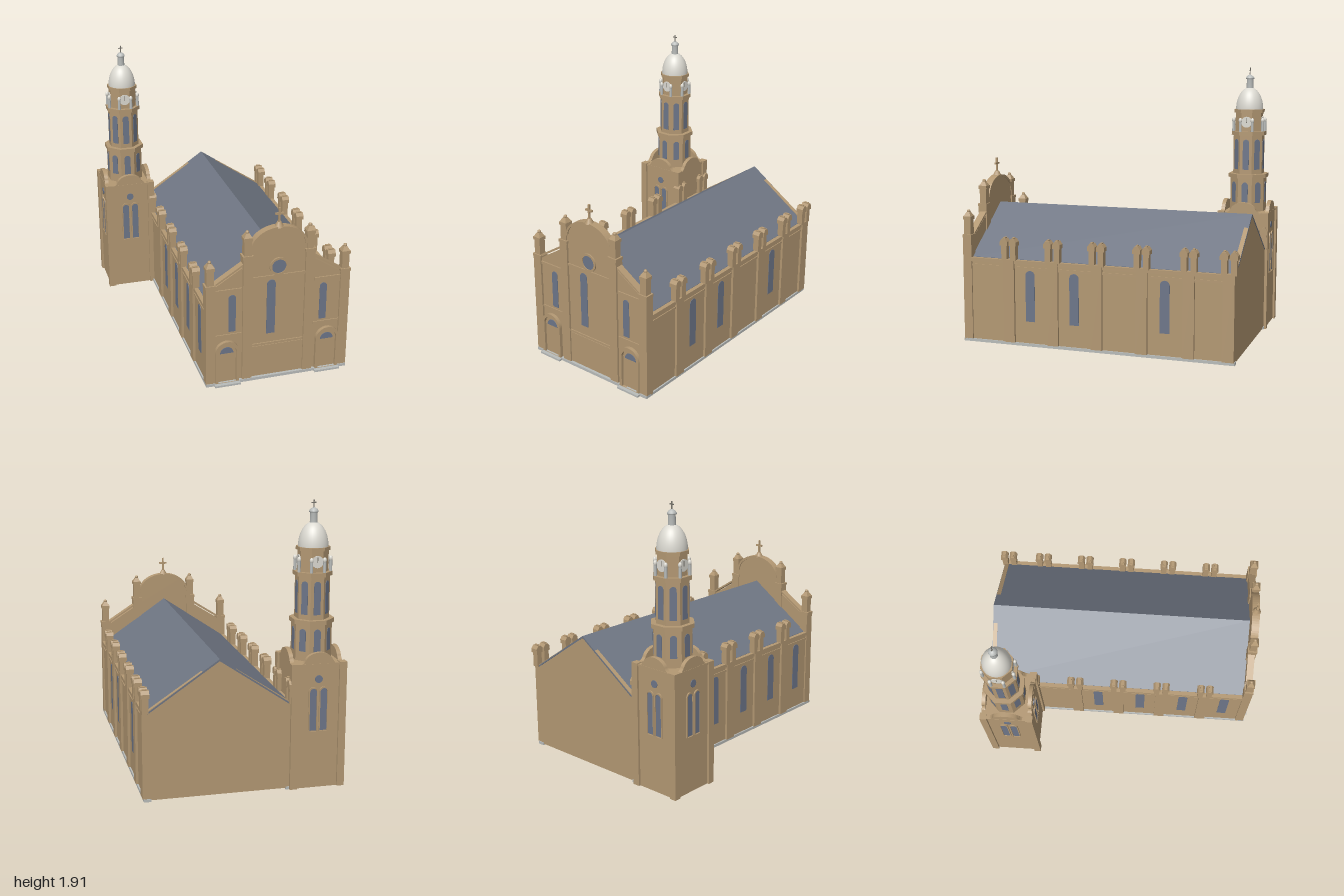
import * as THREE from 'three';

const mat = (name, color, extra = {}) => Object.assign(new THREE.MeshStandardMaterial({ color, ...extra }), { name });

export function createModel() {
  const stone = mat('sandstone', 0xb39873);
  const slate = mat('slate', 0x6f7683, { side: THREE.DoubleSide });
  const glass = mat('windowGlass', 0x6d7689);
  const pale = mat('paleMetal', 0xdcdad2);
  const grey = mat('greyStone', 0xb9bcba);
  const dark = mat('darkMetal', 0x77746c);
  const model = new THREE.Group();
  model.name = 'church';
  const CX = 0.165; // nave axis

  const add = (parent, name, geo, m, x = 0, y = 0, z = 0) => {
    const mesh = new THREE.Mesh(geo, m);
    mesh.name = name;
    mesh.position.set(x, y, z);
    parent.add(mesh);
    return mesh;
  };
  const group = (parent, name, x = 0, y = 0, z = 0, ry = 0) => {
    const g = new THREE.Group();
    g.name = name;
    g.position.set(x, y, z);
    g.rotation.y = ry;
    parent.add(g);
    return g;
  };
  // box from its limits
  const box = (parent, name, m, x0, x1, y0, y1, z0, z1) =>
    add(parent, name, new THREE.BoxGeometry(x1 - x0, y1 - y0, z1 - z0), m, (x0 + x1) / 2, (y0 + y1) / 2, (z0 + z1) / 2);
  const extrude = (shape, depth) => new THREE.ExtrudeGeometry(shape, { depth, bevelEnabled: false, curveSegments: 16 });
  const poly = pts => new THREE.Shape(pts.map(p => new THREE.Vector2(...p)));
  // round-headed outline, foot at y = 0
  const arch = (w, h) => {
    const s = new THREE.Shape();
    s.moveTo(-w / 2, 0);
    s.lineTo(w / 2, 0);
    s.lineTo(w / 2, h - w / 2);
    s.absarc(0, h - w / 2, w / 2, 0, Math.PI, false);
    s.closePath();
    return s;
  };
  const disc = r => new THREE.Shape().absarc(0, 0, r, 0, Math.PI * 2, false);
  const ring = (outer, inner) => { outer.holes.push(inner); return outer; };
  const archWindow = (parent, x, y, z, w, h) => add(parent, 'archedWindow', extrude(arch(w, h), 0.006), glass, x, y, z);

  // ---- nave ----
  const nave = group(model, 'nave', CX);
  const gable = poly([[-0.495, 0.01], [0.495, 0.01], [0.495, 0.6], [0, 0.93], [-0.495, 0.6]]);
  add(nave, 'backGable', extrude(gable, 0.03), stone, 0, 0, -0.98);
  for (const s of [-1, 1]) {
    const side = group(nave, s > 0 ? 'leftSide' : 'rightSide', 0, 0, 0, s * Math.PI / 2);
    // in this frame +z points outwards and x runs along the wall
    const at = z => -s * z;
    const wallBox = (name, m, z, w, y0, y1, d0, d1) => box(side, name, m, at(z) - w / 2, at(z) + w / 2, y0, y1, d0, d1);
    wallBox('sideWall', stone, -0.02, 1.9, 0.01, 0.6, 0.465, 0.495);
    wallBox('sidePlinth', grey, -0.01, 1.95, 0, 0.02, 0.455, 0.505);
    wallBox('lowerCornice', stone, -0.02, 1.9, 0.545, 0.56, 0.48, 0.501);
    wallBox('upperCornice', stone, -0.02, 1.9, 0.58, 0.605, 0.465, 0.505);
    for (const z of [0.62, 0.295, -0.025, -0.345, -0.67, -0.94]) {
      wallBox('pilaster', stone, z, 0.08, 0.02, 0.61, 0.48, 0.512);
      for (const d of [-0.033, 0.033]) {
        wallBox('pinnacleShaft', stone, z + d, 0.04, 0.6, 0.71, 0.468, 0.512);
        const head = poly([[-0.027, 0], [0.027, 0], [0.027, 0.028], [0.012, 0.05], [-0.012, 0.05], [-0.027, 0.028]]);
        add(side, 'pinnacleHead', extrude(head, 0.056), stone, at(z + d), 0.705, 0.463);
        wallBox('pinnacleRidge', stone, z + d, 0.016, 0.75, 0.762, 0.475, 0.508);
      }
    }
    for (const z of s > 0 ? [0.465, 0.14, -0.505] : [0.78, 0.465, 0.14, -0.18])
      archWindow(side, at(z), 0.175, 0.492, 0.068, 0.36);
    // roof slope
    const slope = poly([[0, 0.932], [s * 0.475, 0.607], [s * 0.475, 0.595], [0, 0.918]]);
    add(nave, 'roofSlope', extrude(slope, 1.895), slate, 0, 0, -0.982);
  }

  // ---- front facade ----
  const facade = group(model, 'facade', CX);
  const F = 0.955; // front plane
  const outline = new THREE.Shape();
  outline.moveTo(-0.48, 0.01);
  outline.lineTo(0.48, 0.01);
  outline.lineTo(0.48, 0.72);
  outline.lineTo(0.22, 0.885);
  outline.lineTo(0.19, 0.99);
  outline.absellipse(0, 0.99, 0.19, 0.14, 0, Math.PI, false, 0);
  outline.lineTo(-0.22, 0.885);
  outline.lineTo(-0.48, 0.72);
  outline.closePath();
  add(facade, 'facadeWall', extrude(outline, 0.04), stone, 0, 0, F - 0.04);
  // curved coping over the middle
  const coping = new THREE.Shape();
  coping.absellipse(0, 0.99, 0.195, 0.143, 0, Math.PI, false, 0);
  coping.absellipse(0, 0.99, 0.18, 0.125, Math.PI, 0, true, 0);
  add(facade, 'archCoping', extrude(coping, 0.055), stone, 0, 0, 0.908);
  box(facade, 'frontPlinth', grey, -0.505, 0.505, 0, 0.02, 0.91, 0.975);
  box(facade, 'middleCornice', stone, -0.19, 0.19, 0.77, 0.785, F - 0.01, 0.963);
  box(facade, 'lowerCornice', stone, -0.19, 0.19, 0.262, 0.277, F - 0.01, 0.963);
  box(facade, 'basePanel', stone, -0.185, 0.185, 0.025, 0.255, F - 0.01, 0.959);
  archWindow(facade, -0.05, 0.345, F - 0.002, 0.06, 0.405);
  add(facade, 'oculusFrame', extrude(ring(disc(0.065), disc(0.05)), 0.012), stone, 0, 0.845, F - 0.002);
  add(facade, 'oculusGlass', extrude(disc(0.05), 0.006), glass, 0, 0.845, F - 0.002);

  // piers with pinnacles
  const pier = (x, top) => {
    const p = group(facade, 'pier', x, 0, 0.938);
    const block = (name, w, y0, y1, d = w) => box(p, name, stone, -w / 2, w / 2, y0, y1, -d / 2, d / 2);
    block('pierShaft', 0.066, 0.01, top, 0.064);
    block('pierCap', 0.074, top, top + 0.02, 0.068);
    block('pinnacleShaft', 0.05, top + 0.02, top + 0.14);
    block('pinnacleCap', 0.06, top + 0.125, top + 0.148);
    const tip = add(p, 'pinnacleTip', new THREE.CylinderGeometry(0.016, 0.04, 0.03, 4).rotateY(Math.PI / 4).toNonIndexed(), stone, 0, top + 0.162, 0);
    tip.geometry.computeVertexNormals();
    add(p, 'pinnacleKnob', new THREE.SphereGeometry(0.013, 10, 8), stone, 0, top + 0.182, 0);
  };
  for (const s of [-1, 1]) {
    pier(s * 0.217, 0.93);
    pier(s * 0.472, 0.745);
    const bay = group(facade, 'sideBay', s * 0.355);
    box(bay, 'bayCornice', stone, -0.1, 0.1, 0.7, 0.722, F - 0.01, 0.964);
    box(bay, 'bayString', stone, -0.1, 0.1, 0.367, 0.383, F - 0.01, 0.962);
    const rake = poly([[-s * 0.11, 0.88], [s * 0.09, 0.752], [s * 0.09, 0.766], [-s * 0.11, 0.895]]);
    add(bay, 'rakingCoping', extrude(rake, 0.05), stone, 0, 0, 0.91);
    archWindow(bay, -s * 0.034, 0.4, F - 0.002, 0.05, 0.275);
    // doorway, fanlight and step
    const door = group(bay, 'doorway', s * 0.003);
    add(door, 'doorFrame', extrude(ring(arch(0.168, 0.315), arch(0.128, 0.293)), 0.028), stone, 0, 0.02, F - 0.003);
    add(door, 'doorLeaf', extrude(arch(0.128, 0.293), 0.008), stone, 0, 0.02, F - 0.002);
    const fan = new THREE.Shape().absarc(0, 0, 0.046, 0, Math.PI, false);
    add(door, 'fanlight', extrude(fan, 0.006), glass, 0, 0.24, F + 0.004);
    box(door, 'doorStep', grey, -0.09, 0.09, 0, 0.014, 0.95, 1.0);
  }

  // cross: post, arms and foot
  const cross = (parent, m, x, y, z, h, w, t) => {
    const c = group(parent, 'cross', x, y, z);
    box(c, 'crossPost', m, -t / 2, t / 2, 0, h, -t / 2, t / 2);
    box(c, 'crossArms', m, -w / 2, w / 2, h * 0.6, h * 0.6 + t, -t / 2, t / 2);
  };
  cross(facade, stone, 0, 1.14, 0.938, 0.118, 0.056, 0.013);
  add(facade, 'crossFoot', new THREE.CylinderGeometry(0.014, 0.032, 0.035, 12), stone, 0, 1.143, 0.938);

  // ---- bell tower ----
  const tower = group(model, 'bellTower', -0.504, 0, -0.81);
  box(tower, 'towerBody', stone, -0.175, 0.175, 0, 0.86, -0.175, 0.175);
  for (const x of [-0.165, 0.165]) for (const z of [-0.165, 0.165])
    box(tower, 'cornerPier', stone, x - 0.025, x + 0.025, 0, 0.865, z - 0.025, z + 0.025);
  const crest = new THREE.Shape();
  crest.moveTo(-0.14, 0.85);
  crest.lineTo(0.14, 0.85);
  crest.quadraticCurveTo(0.105, 0.86, 0.095, 0.885);
  crest.absellipse(0, 0.87, 0.095, 0.065, 0.2, Math.PI - 0.2, false, 0);
  crest.lineTo(-0.095, 0.885);
  crest.quadraticCurveTo(-0.105, 0.86, -0.14, 0.85);
  for (let i = 0; i < 4; i++) {
    const face = group(tower, 'towerFace', 0, 0, 0, i * Math.PI / 2);
    add(face, 'curvedCrest', extrude(crest, 0.028), stone, 0, 0, 0.152);
    if (i === 1) continue; // this side joins the nave
    box(face, 'faceCornice', stone, -0.14, 0.14, 0.845, 0.86, 0.17, 0.182);
    add(face, 'roundWindow', extrude(disc(0.026), 0.006), glass, 0, 0.755, 0.173);
    for (const x of [-0.036, 0.036]) {
      add(face, 'windowFrame', extrude(ring(arch(0.064, 0.306), arch(0.048, 0.295)), 0.01), stone, x, 0.397, 0.173);
      archWindow(face, x, 0.402, 0.173, 0.046, 0.29);
    }
  }

  // octagonal stages, given by the distance from axis to flat side
  const octagon = (name, a, y0, y1, m = stone) => {
    const r = a / Math.cos(Math.PI / 8);
    const g = new THREE.CylinderGeometry(r, r, y1 - y0, 8).rotateY(Math.PI / 8).toNonIndexed();
    g.computeVertexNormals();
    add(tower, name, g, m, 0, (y0 + y1) / 2, 0);
  };
  octagon('lowerStage', 0.125, 0.85, 1.11);
  octagon('lowerCornice', 0.138, 1.108, 1.137);
  octagon('middleStage', 0.107, 1.13, 1.425);
  octagon('middleCornice', 0.121, 1.422, 1.45);
  octagon('clockStage', 0.095, 1.44, 1.6);
  octagon('clockCornice', 0.105, 1.588, 1.612);
  for (let i = 0; i < 8; i++) {
    const face = group(tower, 'octagonFace', 0, 0, 0, i * Math.PI / 4);
    archWindow(face, 0, 0.925, 0.122, 0.046, 0.152);
    archWindow(face, 0, 1.17, 0.104, 0.046, 0.222);
    if (i % 2 === 0) {
      add(face, 'clockFace', extrude(disc(0.04), 0.008), pale, 0, 1.52, 0.092);
      box(face, 'clockHand', dark, -0.002, 0.002, 1.515, 1.55, 0.099, 0.102);
    }
    // small columns at the corners
    const corner = group(tower, 'cornerColumn', 0, 0, 0, (i + 0.5) * Math.PI / 4);
    add(corner, 'columnShaft', new THREE.CylinderGeometry(0.01, 0.011, 0.085, 10), grey, 0, 1.49, 0.117);
    add(corner, 'columnCap', new THREE.SphereGeometry(0.013, 10, 8).scale(1, 1.5, 1), pale, 0, 1.532, 0.117);
  }

  // dome and lantern
  add(tower, 'dome', new THREE.SphereGeometry(0.1, 32, 16, 0, Math.PI * 2, 0, Math.PI / 2).scale(1, 1.62, 1), pale, 0, 1.61, 0);
  const lantern = [[0.026, 1.755], [0.024, 1.83], [0.031, 1.834], [0.031, 1.842], [0.024, 1.852], [0.012, 1.862], [0, 1.865]];
  add(tower, 'lantern', new THREE.LatheGeometry(lantern.map(p => new THREE.Vector2(...p)), 16), grey);
  cross(tower, dark, 0, 1.86, 0, 0.055, 0.032, 0.006);

  return model;
}
